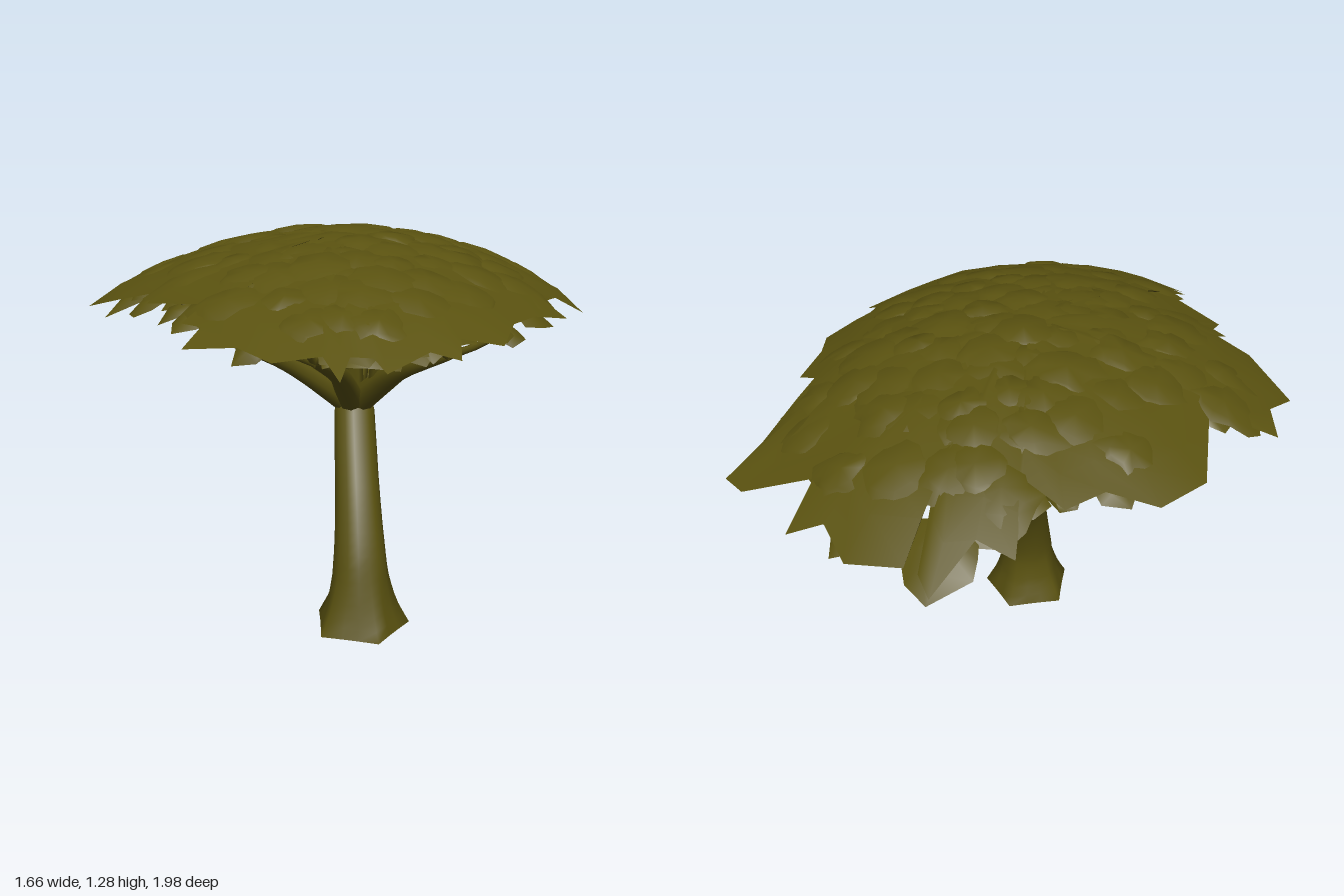
import * as THREE from 'three';
import { mergeGeometries } from 'three/addons/utils/BufferGeometryUtils.js';

// Crown outline as x, z pairs, running back, right, front, left
const OUTLINE = [
  0.12, -1, 0.16, -0.94, 0.16, -0.7, 0.2, -0.93, 0.37, -0.9, 0.46, -0.77, 0.57, -0.78, 0.53, -0.62,
  0.76, -0.6, 0.83, -0.54, 0.77, -0.38, 0.7, -0.22, 0.67, -0.13, 0.74, -0.07, 0.7, 0.05, 0.74, 0.23,
  0.64, 0.27, 0.58, 0.36, 0.64, 0.43, 0.52, 0.53, 0.44, 0.63, 0.39, 0.76, 0.27, 0.78, 0.26, 0.87,
  0.18, 0.85, 0.06, 0.95, 0.03, 0.89, -0.03, 0.89, -0.06, 0.98, -0.1, 0.89, -0.23, 0.89, -0.32, 0.8,
  -0.47, 0.73, -0.4, 0.68, -0.48, 0.61, -0.41, 0.54, -0.6, 0.37, -0.57, 0.28, -0.7, 0.2, -0.83, 0.02,
  -0.76, -0.09, -0.78, -0.23, -0.57, -0.24, -0.57, -0.53, -0.45, -0.67, -0.3, -0.67, -0.2, -0.75,
  -0.08, -0.68, -0.09, -0.9, 0.02, -0.86,
];
const V = (x, y, z) => new THREE.Vector3(x, y, z);

let seed = 7;
function rand(a = 0, b = 1) {
  seed = (seed * 16807) % 2147483647;
  return a + (b - a) * (seed / 2147483647);
}

// Height of the crown's upper surface
function domeY(x, z) {
  const t = Math.min(Math.hypot(x / 0.8, z / 0.97), 1.06);
  return 1.272 - t * t * (0.22 + 0.02 * x + 0.05 * Math.max(0, -z));
}

// Tapered tube through points; shape(angle, t) can modulate the radius
function limb(points, radii, sides, segs, shape = () => 1) {
  const curve = new THREE.CatmullRomCurve3(points);
  const g = new THREE.TubeGeometry(curve, segs, 1, sides);
  const pos = g.attributes.position, v = V(0, 0, 0);
  for (let i = 0; i <= segs; i++) {
    const t = i / segs, c = curve.getPointAt(t);
    const f = t * (radii.length - 1), k = Math.min(Math.floor(f), radii.length - 2);
    const r = THREE.MathUtils.lerp(radii[k], radii[k + 1], f - k);
    for (let j = 0; j <= sides; j++) {
      const n = i * (sides + 1) + j;
      v.fromBufferAttribute(pos, n).sub(c);
      v.multiplyScalar(r * shape((j / sides) * Math.PI * 2, t)).add(c);
      pos.setXYZ(n, v.x, Math.max(0, v.y), v.z);
    }
  }
  g.computeVertexNormals();
  // Share the normals across the tube's seam
  const nor = g.attributes.normal, w = V(0, 0, 0);
  for (let i = 0; i <= segs; i++) {
    const a = i * (sides + 1), b = a + sides;
    v.fromBufferAttribute(nor, a).add(w.fromBufferAttribute(nor, b)).normalize();
    nor.setXYZ(a, v.x, v.y, v.z);
    nor.setXYZ(b, v.x, v.y, v.z);
  }
  return g;
}

// Open sheet from a centre point and growing rings
function sheet(center, rings) {
  const n = rings[0].length, index = [];
  for (let j = 0; j < n; j++) {
    const k = (j + 1) % n;
    index.push(0, 1 + k, 1 + j);
    for (let i = 1; i < rings.length; i++) {
      const a = 1 + (i - 1) * n, b = 1 + i * n;
      index.push(a + j, a + k, b + j, a + k, b + k, b + j);
    }
  }
  const g = new THREE.BufferGeometry().setFromPoints([center, ...rings.flat()]);
  g.setIndex(index);
  g.computeVertexNormals();
  return g;
}

// Ragged leaf pad that follows the dome and droops at its rim
function leafPad(x, z, size, offset, droop, points = 11) {
  const ring = (scale, low, rough) => Array.from({ length: points }, (_, i) => {
    const a = ((i + rand(-0.25, 0.25)) / points) * Math.PI * 2;
    const r = size * scale * (1 + rand(-rough, rough));
    const px = x + Math.cos(a) * r, pz = z + Math.sin(a) * r;
    return V(px, domeY(px, pz) + offset - low * rand(0.6, 1.3), pz);
  });
  return sheet(V(x, domeY(x, z) + offset, z), [ring(0.6, droop * 0.2, 0.1), ring(1, droop, 0.32)]);
}

// Point of the outline scaled toward the centre
function outlineAt(f, u) {
  const n = OUTLINE.length / 2, i = Math.floor(f * n) % n, j = (i + 1) % n, t = f * n - Math.floor(f * n);
  const mix = (k) => THREE.MathUtils.lerp(OUTLINE[i * 2 + k], OUTLINE[j * 2 + k], t) * u;
  return [mix(0), mix(1)];
}

export function createModel() {
  const model = new THREE.Group();
  const olive = new THREE.MeshStandardMaterial({ color: 0x5a5210, side: THREE.DoubleSide });
  olive.name = 'olive';
  const add = (name, geometries) => {
    const mesh = new THREE.Mesh(mergeGeometries(geometries), olive);
    mesh.name = name;
    model.add(mesh);
  };

  // Leaning trunk with a lobed, flared foot
  const lobes = (a, t) => 1 + 0.14 * Math.max(0, 1 - t * 4) * Math.cos(a * 5);
  add('trunk', [limb(
    [V(0.04, 0, 0.27), V(0.04, 0.1, 0.268), V(0.04, 0.22, 0.253), V(0.037, 0.4, 0.185),
      V(0.035, 0.56, 0.09), V(0.035, 0.68, 0.01), V(0.035, 0.76, -0.03)],
    [0.145, 0.112, 0.094, 0.086, 0.08, 0.076, 0.073, 0.072, 0.07, 0.068, 0.025], 15, 24, lobes)]);

  // Limbs spread from the fork and split into twigs under the crown
  const limbs = [], twigs = [], tufts = [];
  const twig = (from, x, z, r) => {
    const end = V(x, domeY(x, z) - 0.02, z);
    const mid = from.clone().lerp(end, 0.5).add(V(rand(-0.03, 0.03), -0.015, rand(-0.03, 0.03)));
    twigs.push(limb([from, mid, end], [r, r * 0.75, r * 0.3], 6, 6));
    // Pointed tufts beside the twig
    tufts.push(leafPad((mid.x + x) / 2, (mid.z + z) / 2, rand(0.04, 0.07), rand(-0.13, -0.07), 0.03, 5));
  };
  const LIMBS = 8;
  for (let i = 0; i < LIMBS; i++) {
    const a = ((i + 0.25 + rand(-0.15, 0.15)) / LIMBS) * Math.PI * 2;
    const reach = 0.88 + 0.2 * Math.abs(Math.sin(a));
    const at = (r, y, da = 0) => V(0.035 + Math.cos(a + da) * r * reach, y, Math.sin(a + da) * r * reach);
    const knee = at(0.13, 0.78), mid = at(0.27, 0.87), end = at(0.46, 0.955, rand(-0.1, 0.1));
    limbs.push(limb([V(0.035, 0.68, 0.005), knee, mid, end], [0.045, 0.042, 0.034, 0.026, 0.014], 8, 12));
    for (const da of [-0.34, 0.05, 0.36]) {
      const p = at(rand(0.34, 0.46), 1, da), q = at(rand(0.6, 0.7), 1, da * 0.8);
      twig(mid, p.x, p.z, 0.02);
      twig(end, q.x, q.z, 0.013);
    }
    // Steeper inner branch
    const inner = at(0.2, 1, 0.3);
    twig(knee, inner.x, inner.z, 0.026);
  }
  // Upright leaders in the middle
  twig(V(0.035, 0.7, 0), 0.08, -0.06, 0.035);
  twig(V(0.035, 0.7, 0), -0.04, 0.1, 0.035);
  add('limbs', limbs);
  add('twigs', twigs);
  add('twigLeaves', tufts);

  // Main crown sheet with the ragged outline
  const ringAt = (u) => Array.from({ length: OUTLINE.length / 2 }, (_, i) => {
    const x = OUTLINE[i * 2] * u, z = OUTLINE[i * 2 + 1] * u;
    return V(x, domeY(x, z) + rand(-0.008, 0.006) - (u === 1 ? 0.01 : 0), z);
  });
  add('crown', [sheet(V(0, 1.27, 0), [0.2, 0.4, 0.6, 0.75, 0.87, 1].map(ringAt))]);

  // Overlapping leaf pads on top, spread evenly
  const upper = [], lower = [];
  for (let i = 0; i < 80; i++) {
    const [x, z] = outlineAt((i * 0.618034) % 1, 0.84 * Math.sqrt((i + 0.5) / 80));
    upper.push(leafPad(x, z, rand(0.09, 0.14), rand(0.002, 0.012), 0.025));
  }
  // Hanging pads below, denser toward the rim
  for (let i = 0; i < 75; i++) {
    const [x, z] = outlineAt((i * 0.618034 + 0.3) % 1, rand(0.5, 0.9));
    lower.push(leafPad(x, z, rand(0.06, 0.11), rand(-0.06, -0.025), 0.03, 8));
  }
  add('upperLeaves', upper);
  add('lowerLeaves', lower);
  return model;
}
